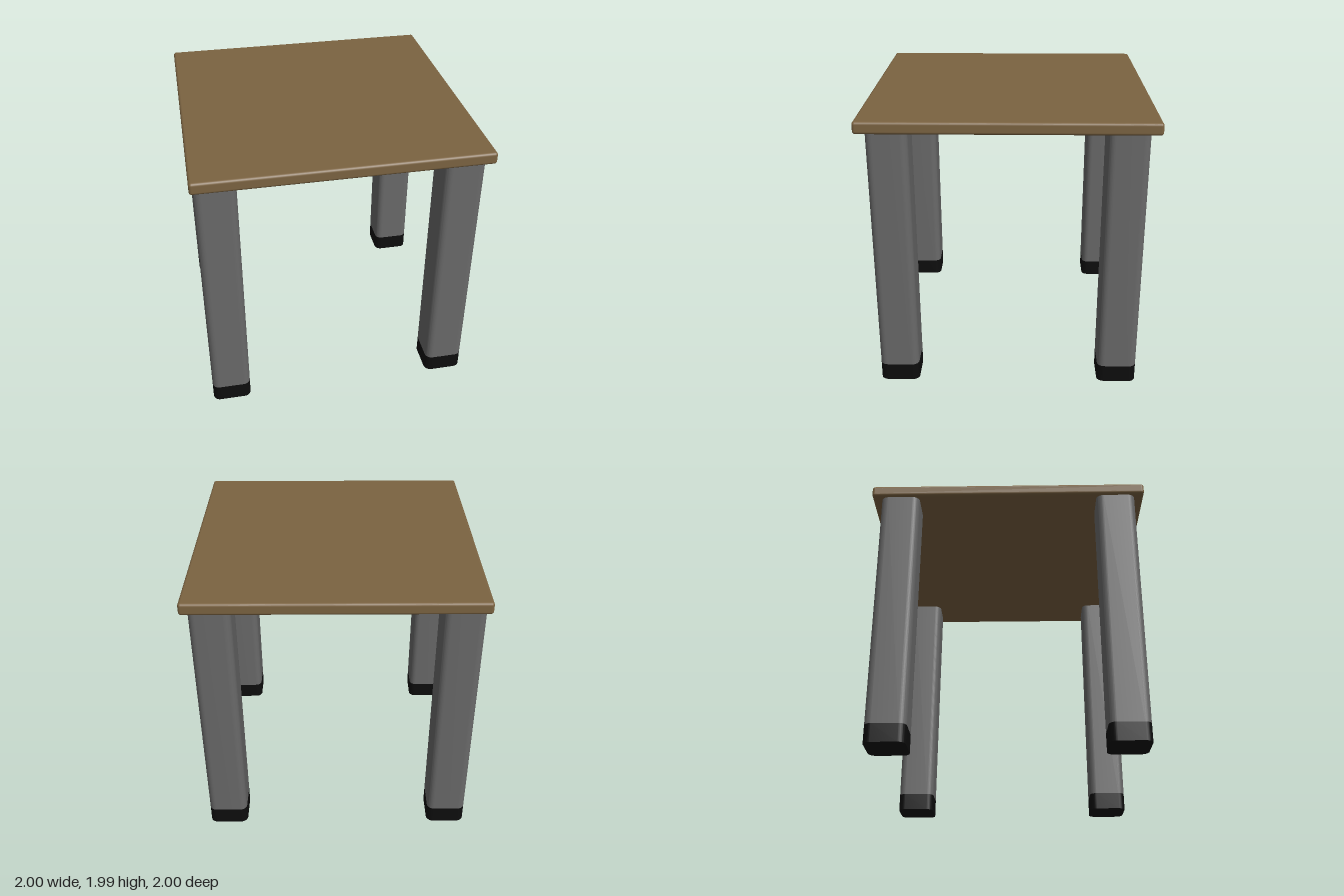
import * as THREE from 'three';
import { toCreasedNormals } from 'three/addons/utils/BufferGeometryUtils.js';
import { RoundedBoxGeometry } from 'three/addons/geometries/RoundedBoxGeometry.js';

const LEG = 0.28, CORNER = 0.05;
const FOOT_TOP = 0.128, TOP_BOTTOM = 1.905, TOP_TOP = 1.99;

// Upright square post with rounded vertical corners, from y0 to y1
function postGeometry(y0, y1) {
  const h = LEG / 2, c = h - CORNER;
  const s = new THREE.Shape();
  s.absarc(c, c, CORNER, 0, Math.PI / 2);
  s.absarc(-c, c, CORNER, Math.PI / 2, Math.PI);
  s.absarc(-c, -c, CORNER, Math.PI, Math.PI * 1.5);
  s.absarc(c, -c, CORNER, Math.PI * 1.5, Math.PI * 2);
  const g = new THREE.ExtrudeGeometry(s, { depth: y1 - y0, bevelEnabled: false, curveSegments: 8 });
  g.rotateX(-Math.PI / 2).translate(0, y0, 0);
  return toCreasedNormals(g, Math.PI / 5);
}

export function createModel() {
  const table = new THREE.Group();
  table.name = 'table';
  const wood = new THREE.MeshStandardMaterial({ color: 0x7b6341 });
  const metal = new THREE.MeshStandardMaterial({ color: 0x696969 });
  const rubber = new THREE.MeshStandardMaterial({ color: 0x0d0d0d });

  const add = (parent, name, geometry, material) => {
    const mesh = new THREE.Mesh(geometry, material);
    mesh.name = name;
    parent.add(mesh);
    return mesh;
  };

  // Thin square top with softened edges
  const top = add(table, 'tableTop', new RoundedBoxGeometry(2, TOP_TOP - TOP_BOTTOM, 2, 4, 0.02), wood);
  top.position.y = (TOP_TOP + TOP_BOTTOM) / 2;

  // Four legs with dark feet, set slightly off centre in x
  const shaft = postGeometry(FOOT_TOP, TOP_BOTTOM);
  const foot = postGeometry(0, FOOT_TOP);
  for (const [side, x] of [['Left', 0.82], ['Right', -0.838]]) {
    for (const [end, z] of [['front', 0.793], ['back', -0.793]]) {
      const leg = new THREE.Group();
      leg.name = `${end}${side}Leg`;
      leg.position.set(x, 0, z);
      add(leg, 'legShaft', shaft, metal);
      add(leg, 'legFoot', foot, rubber);
      table.add(leg);
    }
  }
  return table;
}
